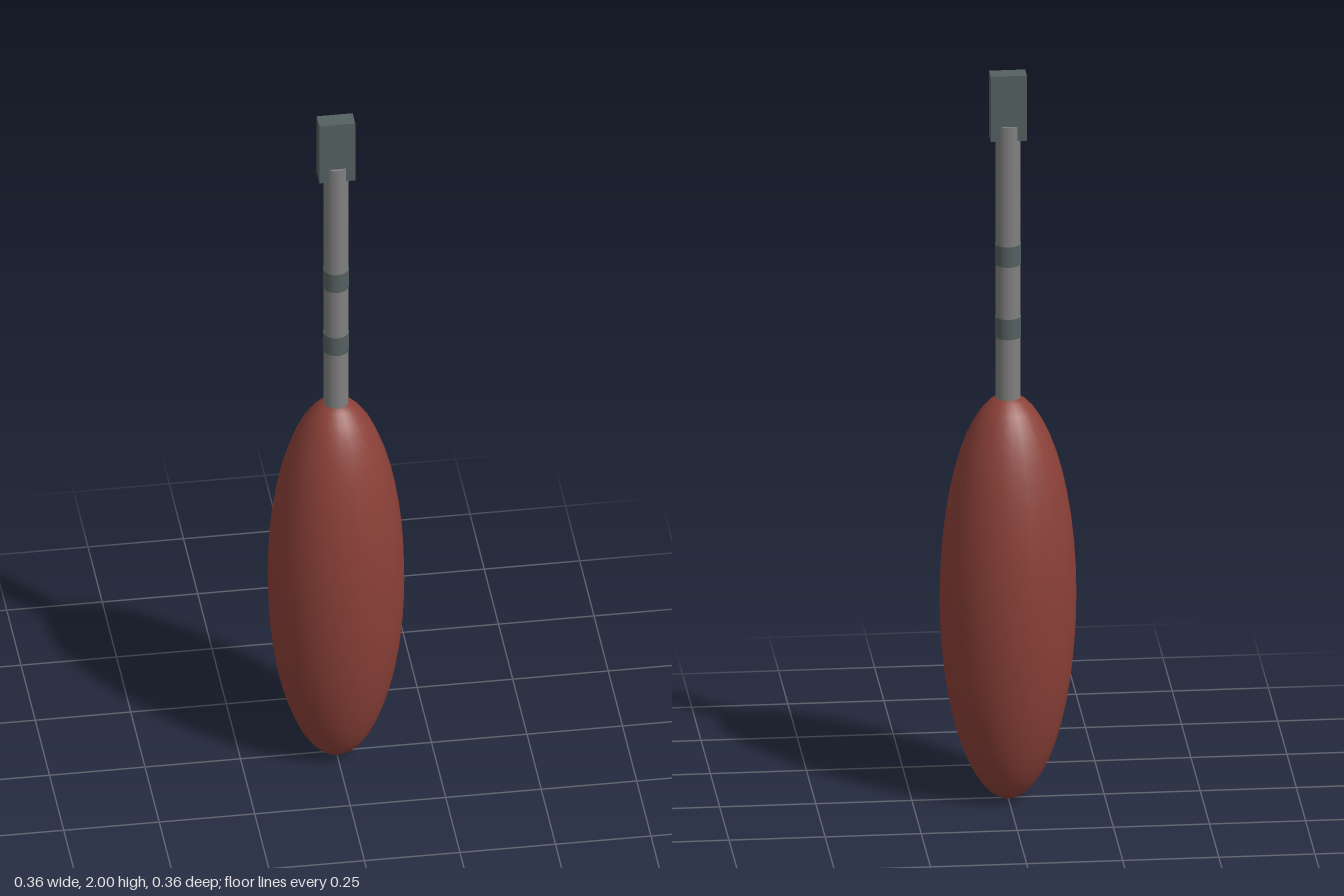
import * as THREE from 'three';

export function createModel() {
  const model = new THREE.Group();
  const material = (name, color) => {
    const m = new THREE.MeshStandardMaterial({ color });
    m.name = name;
    return m;
  };
  const red = material('brick red', 0x8b4038);
  const grey = material('shaft grey', 0x808080);
  const dark = material('dark slate', 0x556060);

  const add = (name, geometry, mat, y) => {
    const mesh = new THREE.Mesh(geometry, mat);
    mesh.name = name;
    mesh.position.y = y;
    model.add(mesh);
  };

  // Long egg-shaped body
  const body = new THREE.SphereGeometry(1, 24, 24);
  body.scale(0.178, 0.558, 0.178);
  add('body', body, red, 0.56);

  // Round shaft rising out of the body
  const shaftBottom = 1.05, shaftTop = 1.86;
  add('shaft', new THREE.CylinderGeometry(0.0325, 0.0325, shaftTop - shaftBottom, 24),
    grey, (shaftBottom + shaftTop) / 2);

  // Two bands around the shaft
  for (const [name, y] of [['lowerBand', 1.303], ['upperBand', 1.503]]) {
    add(name, new THREE.CylinderGeometry(0.0335, 0.0335, 0.056, 24), dark, y);
  }

  // Flat block at the tip
  add('tipBlock', new THREE.BoxGeometry(0.094, 0.18, 0.047), dark, 1.91);

  return model;
}
